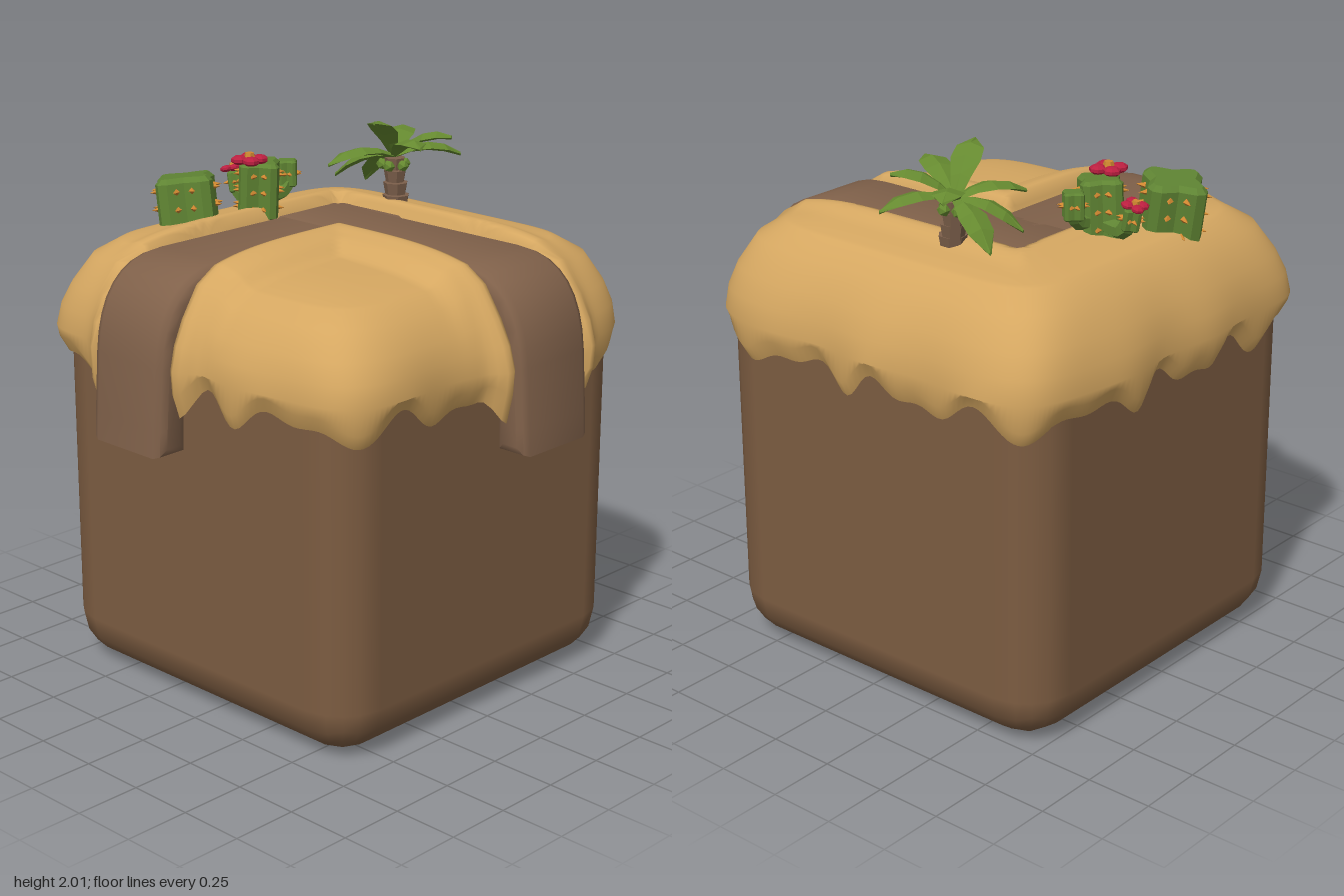
import * as THREE from 'three';
import { mergeGeometries, mergeVertices, toCreasedNormals } from 'three/addons/utils/BufferGeometryUtils.js';
import { RoundedBoxGeometry } from 'three/addons/geometries/RoundedBoxGeometry.js';

const mat = (name, color, extra = {}) => {
  const m = new THREE.MeshStandardMaterial({ color, ...extra });
  m.name = name;
  return m;
};

export function createModel() {
  const M = {
    earth: mat('earth', 0x7c5c41),
    path: mat('path', 0x80614a),
    sand: mat('sand', 0xd5a761, { side: THREE.DoubleSide }),
    trunk: mat('trunk', 0x7d604b, { flatShading: true }),
    leaf: mat('leaf', 0x668a30, { flatShading: true }),
    cactus: mat('cactus', 0x5f8433, { flatShading: true }),
    spike: mat('spike', 0xcf8730, { flatShading: true }),
    petal: mat('petal', 0xbb1f40, { flatShading: true }),
  };
  const model = new THREE.Group();
  const add = (parent, name, geo, material, x = 0, y = 0, z = 0) => {
    const mesh = new THREE.Mesh(geo, material);
    mesh.name = name;
    mesh.position.set(x, y, z);
    parent.add(mesh);
    return mesh;
  };
  const CX = -0.045, CZ = -0.045;
  const smooth = THREE.MathUtils.smoothstep;

  // Earth block
  add(model, 'earthBlock', new RoundedBoxGeometry(1.5, 1.5, 1.5, 2, 0.19), M.earth, CX, 0.75, CZ);

  // Sand cap: a gridded top and a drooping skirt, sunk under the path and raised beside it
  const pathDistance = (x, z) => Math.min(
    Math.max(-0.41 - x, x + 0.05, -0.42 - z),
    Math.max(-0.42 - z, z + 0.05, -0.41 - x));
  const skirt = [[0.62, 1.64, 1], [0.7, 1.585, 0.75], [0.76, 1.48, 0.4], [0.79, 1.4, 0.15],
    [0.803, 1.32, 0], [0.797, 1.26, 0], [0.772, 0, 0]];
  const N = 64;
  const sandPoint = (u, v, row) => {
    const s = Math.max(Math.abs(u), Math.abs(v));
    const f = s ? s / Math.pow(Math.abs(u) ** 7 + Math.abs(v) ** 7, 1 / 7) : 1;
    const [half, rowY, up] = skirt[row];
    const out = new THREE.Vector2(u * Math.abs(u) ** 5, v * Math.abs(v) ** 5).normalize();
    let x = CX + u * f * half, z = CZ + v * f * half;
    let y = row ? rowY : 1.68 - 0.04 * s ** 4;
    const d = pathDistance(x, z), a = Math.atan2(v, u);
    const lip = Math.exp(-(((d - 0.035) / 0.05) ** 2));
    if (row >= 5) {
      const hem = 1.215 + 0.035 * Math.sin(14 * a) + 0.025 * Math.sin(23 * a + 1);
      const drop = lip * (x > 0.6 && z > -0.05 ? 0.13 : 0.06);
      y = row === 6 ? hem - drop : hem + 0.055 - drop * 0.6;
    }
    const bump = d < 0 ? -0.085 * smooth(-d, 0, 0.04) + lip * 0.02 * smooth(d, -0.03, 0)
      : lip * (0.02 + 0.035 * (1 - up));
    const wave = (1 - up) * 0.01 * Math.sin(11 * a + 0.6);
    y += bump * up - 0.045 * up * smooth(Math.min(x, z), 0.05, 0.15);
    x += out.x * (1 - up) * (bump + wave);
    z += out.y * (1 - up) * (bump + wave);
    return [x, y, z];
  };
  const rim = (k) => {
    const g = ((k % N) / N) * 2 - 1;
    return [[g, 1], [1, -g], [-g, -1], [-1, g]][Math.floor(k / N) % 4];
  };
  const grid = (cols, rows, fn) => {
    const g = new THREE.PlaneGeometry(1, 1, cols, rows);
    for (let j = 0, n = 0; j <= rows; j++)
      for (let i = 0; i <= cols; i++) g.attributes.position.setXYZ(n++, ...fn(i, j));
    g.deleteAttribute('normal');
    g.deleteAttribute('uv');
    return g;
  };
  const sand = mergeVertices(mergeGeometries([
    grid(N, N, (i, j) => sandPoint((i / N) * 2 - 1, (j / N) * 2 - 1, 0)),
    grid(4 * N, skirt.length - 1, (k, r) => sandPoint(...rim(k), r)),
  ]), 1e-4);
  sand.computeVertexNormals();
  add(model, 'sandCap', sand, M.sand);

  // Path: two bent slabs meeting at a corner and hanging over the front and left sides
  const band = new THREE.Shape();
  band.moveTo(-0.41, 1.5);
  band.lineTo(0.5, 1.5);
  band.quadraticCurveTo(0.7, 1.46, 0.71, 1.2);
  band.lineTo(0.715, 1.0);
  band.lineTo(0.845, 1.0);
  band.lineTo(0.84, 1.1);
  band.lineTo(0.825, 1.32);
  band.bezierCurveTo(0.81, 1.52, 0.72, 1.65, 0.52, 1.65);
  band.lineTo(-0.41, 1.65);
  const bevel = 0.035, width = 0.365;
  const slab = new THREE.ExtrudeGeometry(band, { depth: width - 2 * bevel, curveSegments: 8,
    bevelThickness: bevel, bevelSize: bevel, bevelOffset: -bevel, bevelSegments: 2 });
  slab.translate(0, 0, -width / 2 + bevel);
  const slabGeo = toCreasedNormals(slab, 0.8);
  add(model, 'pathSide', slabGeo, M.path, 0, 0, -0.235);
  add(model, 'pathFront', slabGeo, M.path, -0.23, 0, 0).rotation.y = -Math.PI / 2;

  // Palm: ringed trunk, small fruit and arched diamond-section leaves
  const palm = new THREE.Group();
  palm.name = 'palm';
  model.add(palm);
  for (let i = 0; i < 4; i++)
    add(palm, 'trunkRing', new THREE.CylinderGeometry(0.052 - i * 0.004, 0.042 - i * 0.004, 0.055, 7),
      M.trunk, -0.175 - i * 0.01, 1.675 + i * 0.045, -0.49 - i * 0.008);
  for (let i = 0; i < 5; i++)
    add(palm, 'fruit', new THREE.IcosahedronGeometry(0.024, 0), M.leaf,
      -0.21 + 0.045 * Math.cos(i * 1.26), 1.81, -0.515 + 0.045 * Math.sin(i * 1.26));
  const tips = [[-0.09, 1.83, -0.76], [-0.34, 1.9, -0.72], [-0.03, 1.92, -0.64], [0.03, 1.92, -0.4],
    [-0.15, 2.0, -0.34], [-0.31, 1.83, -0.26], [-0.43, 1.75, -0.42], [-0.42, 1.71, -0.58]];
  const crown = [-0.215, 1.84, -0.52];
  const leafWidth = [0.014, 0.036, 0.055, 0.05, 0.006];
  for (const tip of tips) {
    const dx = tip[0] - crown[0], dy = tip[1] - crown[1], dz = tip[2] - crown[2];
    const length = Math.hypot(dx, dz);
    const g = new THREE.CylinderGeometry(1, 1, 1, 4, 4);
    const p = g.attributes.position;
    for (let i = 0; i < p.count; i++) {
      const t = p.getY(i) + 0.5, w = leafWidth[Math.round(t * 4)];
      p.setXYZ(i, -p.getX(i) * w, p.getZ(i) * (0.006 + w * 0.18) + dy * t + 0.14 * t * (1 - t), t * length);
    }
    g.computeVertexNormals();
    add(palm, 'palmLeaf', g, M.leaf, ...crown).rotation.y = Math.atan2(dx, dz);
  }

  // Cacti: four-lobed columns with spikes on both flanks of each lobe
  const column = (radius, height) => {
    const pts = [];
    for (let i = 0; i < 24; i++) {
      const a = (i / 24) * Math.PI * 2, r = radius * (0.83 + 0.17 * Math.cos(4 * a));
      pts.push(new THREE.Vector2(r * Math.cos(a), r * Math.sin(a)));
    }
    const b = radius * 0.14;
    return new THREE.ExtrudeGeometry(new THREE.Shape(pts), { depth: height - 2 * b, bevelThickness: b,
      bevelSize: b, bevelOffset: -b, bevelSegments: 1 }).translate(0, 0, b).rotateX(-Math.PI / 2);
  };
  const cactus = (name, radius, height, rows, x, y, z) => {
    const group = new THREE.Group();
    group.name = name;
    group.position.set(x, y, z);
    model.add(group);
    add(group, 'column', column(radius, height), M.cactus);
    const cone = new THREE.ConeGeometry(0.013, 0.036, 4).rotateX(Math.PI / 2);
    for (let i = 0; i < 8; i++)
      for (let r = 0; r < rows; r++) {
        const a = Math.floor(i / 2) * Math.PI / 2 + (i % 2 ? 0.5 : -0.5);
        const s = add(group, 'spike', cone, M.spike, Math.sin(a) * radius * 0.88,
          height * (r + 0.75) / (rows + 0.5), Math.cos(a) * radius * 0.88);
        s.rotation.y = a;
      }
    return group;
  };
  const flower = (size, x, y, z, tilt) => {
    const group = new THREE.Group();
    group.name = 'flower';
    group.position.set(x, y, z);
    group.rotation.z = tilt;
    model.add(group);
    for (let i = 0; i < 4; i++) {
      const a = i * Math.PI / 2 + 0.6;
      add(group, 'petal', new THREE.SphereGeometry(size * 0.5, 7, 5).scale(1, 0.55, 1), M.petal,
        Math.cos(a) * size * 0.58, 0, Math.sin(a) * size * 0.58);
    }
    add(group, 'flowerCentre', new THREE.CylinderGeometry(size * 0.25, size * 0.36, size * 0.4, 6), M.spike, 0, size * 0.2, 0);
  };
  cactus('wideCactus', 0.135, 0.23, 3, -0.57, 1.595, 0.205).rotation.z = 0.14;
  cactus('tallCactus', 0.095, 0.22, 3, -0.475, 1.64, -0.05).rotation.z = -0.05;
  cactus('backArm', 0.046, 0.1, 1, -0.46, 1.74, -0.19);
  cactus('sideArm', 0.04, 0.08, 1, -0.615, 1.71, -0.08).rotation.z = 0.2;
  const elbow = (...pts) => add(model, 'armElbow', new THREE.TubeGeometry(
    new THREE.CatmullRomCurve3(pts.map((p) => new THREE.Vector3(...p))), 5, 0.032, 6), M.cactus);
  elbow([-0.47, 1.72, -0.09], [-0.46, 1.725, -0.16], [-0.46, 1.76, -0.19]);
  elbow([-0.52, 1.7, -0.07], [-0.59, 1.7, -0.08], [-0.615, 1.73, -0.08]);
  flower(0.066, -0.455, 1.873, 0.01, 0);
  flower(0.048, -0.64, 1.8, -0.08, 0.25);

  return model;
}
